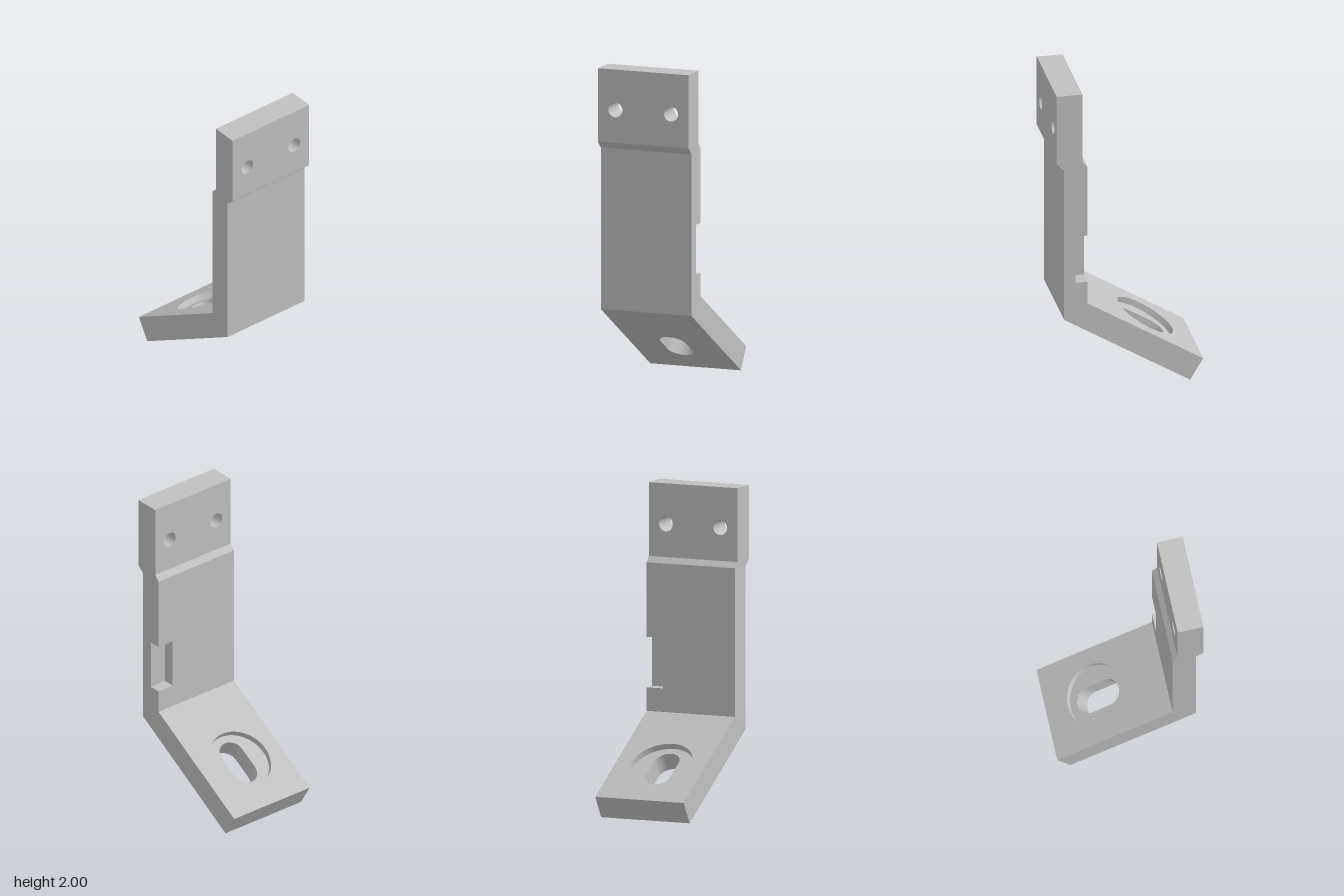
import * as THREE from 'three';
import { toCreasedNormals } from 'three/addons/utils/BufferGeometryUtils.js';

const WIDTH = 0.606;
const HALF = WIDTH / 2;

const polygon = (points) => new THREE.Shape(points.map(([x, y]) => new THREE.Vector2(x, y)));

const extrude = (shape, depth) =>
  new THREE.ExtrudeGeometry(shape, { depth, bevelEnabled: false, curveSegments: 28 });

function circleHole(x, y, r) {
  return new THREE.Path().absarc(x, y, r, 0, Math.PI * 2, true);
}

// Slot with round ends, long along x
function slotHole(x, y, halfStraight, r) {
  const path = new THREE.Path();
  path.absarc(x + halfStraight, y, r, -Math.PI / 2, Math.PI / 2, false);
  path.absarc(x - halfStraight, y, r, Math.PI / 2, Math.PI * 1.5, false);
  path.closePath();
  return path;
}

export function createModel() {
  const group = new THREE.Group();
  const metal = new THREE.MeshStandardMaterial({ color: 0xc0c0c0 });
  metal.name = 'grey metal';

  const add = (name, geometry, parent = group) => {
    const mesh = new THREE.Mesh(toCreasedNormals(geometry, 0.5), metal);
    mesh.name = name;
    parent.add(mesh);
  };

  // Sloping foot: slotted lower layer, counterbored upper layer, mitred at the bend
  const foot = new THREE.Group();
  foot.name = 'foot';
  group.add(foot);
  const angle = Math.atan2(0.48, 0.793);
  const along = new THREE.Vector3(Math.cos(angle), Math.sin(angle), 0);
  const normal = new THREE.Vector3(-Math.sin(angle), Math.cos(angle), 0);
  const footFrame = new THREE.Matrix4()
    .makeBasis(along, new THREE.Vector3(0, 0, -1), normal)
    .setPosition(-0.38, 0, 0);
  const thickness = 0.161, boreDepth = 0.04, boreCentre = 0.354;
  const footLayer = (name, hole, from, to) => {
    const shape = polygon([[0, -HALF], [0.927, -HALF], [0.927, HALF], [0, HALF]]);
    shape.holes.push(hole);
    const geometry = extrude(shape, to - from).translate(0, 0, from);
    const pos = geometry.attributes.position;
    for (let i = 0; i < pos.count; i++) {
      if (pos.getX(i) > 0.8) pos.setX(i, 0.927 - 0.075 * pos.getZ(i) / thickness);
    }
    add(name, geometry.applyMatrix4(footFrame), foot);
  };
  footLayer('slottedLayer', slotHole(boreCentre, 0, 0.069, 0.083), 0, thickness - boreDepth);
  footLayer('counterboreLayer', circleHole(boreCentre, 0, 0.2), thickness - boreDepth, thickness);

  // Upright post with a stepped top; the back slice has the side notch
  const front = 0.265, back = 0.413, notchZ = -0.19;
  const outer = [[front, 0.58], [back, 0.48], [back, 1.495], [0.46, 1.54], [0.297, 1.54], [front, 1.505]];
  const notch = [[front, 1.04], [0.34, 1.04], [0.34, 0.725], [front, 0.725]];
  add('post', extrude(polygon(outer), HALF - notchZ).translate(0, 0, notchZ));
  add('notchedPostEdge', extrude(polygon([...outer, ...notch]), HALF + notchZ).translate(0, 0, -HALF));

  // Head plate with two bolt holes
  const headShape = polygon([[-HALF, 1.54], [HALF, 1.54], [HALF, 2], [-HALF, 2]]);
  for (const side of [-1, 1]) headShape.holes.push(circleHole(side * 0.186, 1.747, 0.047));
  const headFrame = new THREE.Matrix4()
    .makeBasis(new THREE.Vector3(0, 0, -1), new THREE.Vector3(0, 1, 0), new THREE.Vector3(1, 0, 0))
    .setPosition(0.297, 0, 0);
  add('head', extrude(headShape, 0.163).applyMatrix4(headFrame));

  return group;
}
